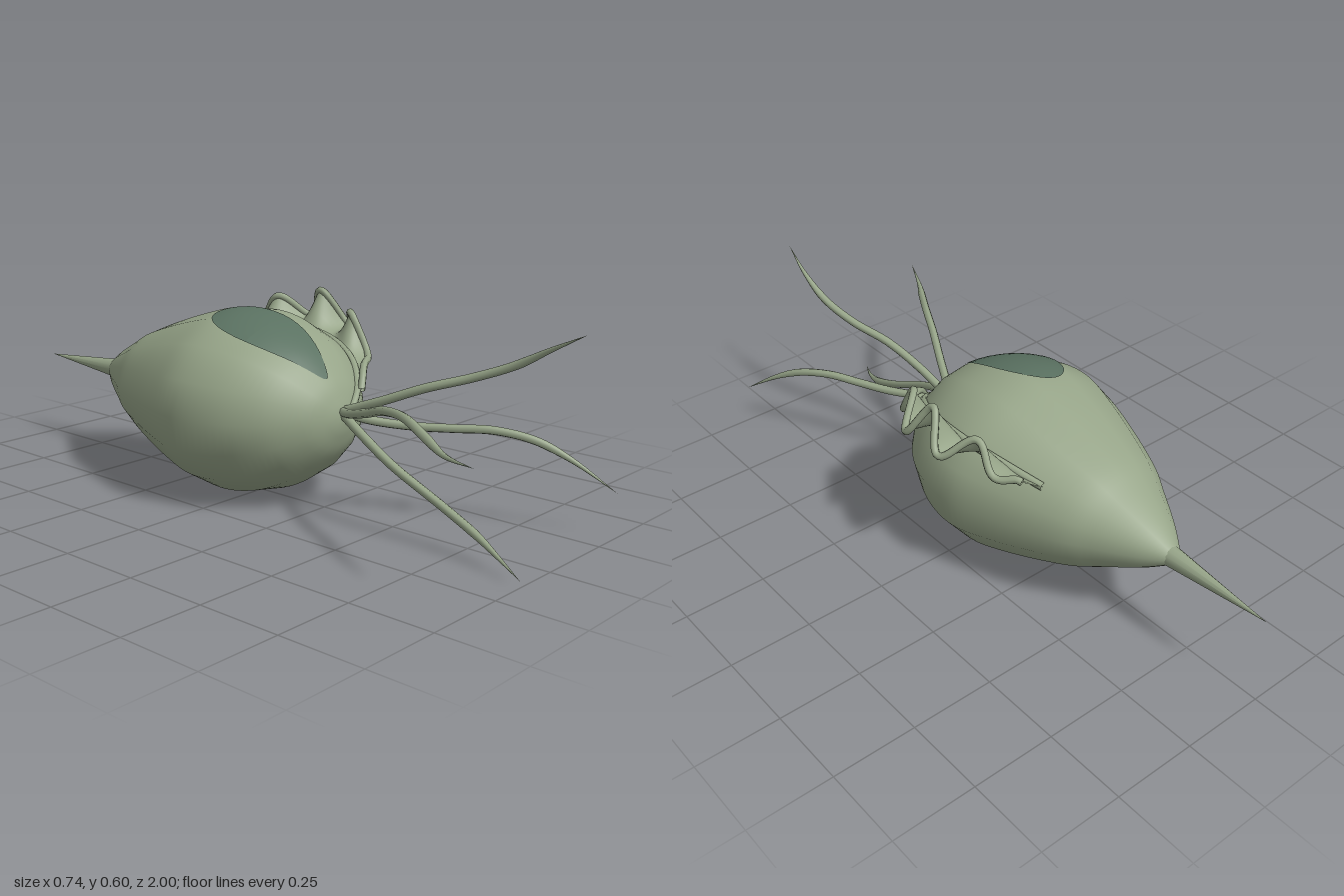
import * as THREE from 'three';

const skin = new THREE.MeshStandardMaterial({ color: 0x97a589 });
skin.name = 'sage skin';
const finSkin = new THREE.MeshStandardMaterial({ color: 0x97a589, side: THREE.DoubleSide });
finSkin.name = 'sage fin';
const dark = new THREE.MeshStandardMaterial({ color: 0x5a7161 });
dark.name = 'dark green';

const CY = 0.278, SX = 0.319, SY = 0.277;
const V = (p) => new THREE.Vector3(...p);

// Body outline: x = position along z, y = relative radius
const profile = new THREE.SplineCurve([
  [-0.67, 0.09], [-0.6, 0.26], [-0.5, 0.46], [-0.4, 0.645], [-0.2, 0.895], [-0.06, 1],
  [0.08, 0.925], [0.2, 0.71], [0.28, 0.42], [0.314, 0.18], [0.325, 0],
].map(([z, r]) => new THREE.Vector2(z, r))).getPoints(60);

function radiusAt(z) {
  for (let i = 1; i < profile.length; i++) {
    const a = profile[i - 1], b = profile[i];
    if (z <= b.x) return a.y + (b.y - a.y) * (z - a.x) / (b.x - a.x);
  }
  return 0;
}

// Point on the body at an angle about the z axis
function onBody(angle, z, lift = 0) {
  const r = radiusAt(z);
  return new THREE.Vector3(
    Math.cos(angle) * (SX * r + lift), CY + Math.sin(angle) * (SY * r + lift), z);
}

function mesh(name, geometry, material) {
  const m = new THREE.Mesh(geometry, material);
  m.name = name;
  return m;
}

// Move every vertex of a geometry by a rule
function shape(geometry, rule) {
  const pos = geometry.attributes.position;
  const v = new THREE.Vector3();
  for (let i = 0; i < pos.count; i++) {
    const p = rule(v.fromBufferAttribute(pos, i), i);
    pos.setXYZ(i, p.x, p.y, p.z);
  }
  return geometry;
}

// Tube that narrows to a point over its last part
function tentacle(points) {
  const curve = new THREE.CatmullRomCurve3(points.map(V));
  const rings = 48, sides = 8;
  return shape(new THREE.TubeGeometry(curve, rings, 0.0135, sides), (v, i) => {
    const t = Math.floor(i / (sides + 1)) / rings;
    const k = t < 0.72 ? 1 - 0.15 * t : 0.892 * (1 - t) / 0.28;
    return v.sub(curve.getPointAt(t)).multiplyScalar(k).add(curve.getPointAt(t));
  });
}

// Ruffled fin: t runs front to back, s from the body to the free edge
const FIN = 0.7;
function finPoint(t, s) {
  const z = 0.305 - 0.645 * t;
  const p = onBody(FIN, z, -0.004);
  const height = 0.04 + 0.055 * t + 0.055 * Math.sin(Math.PI * t);
  const sway = 0.056 * Math.pow(Math.sin(Math.PI * t), 0.6) * Math.cos(2 * Math.PI * (z + 0.038) / 0.165);
  p.x += s * (0.82 * height - 0.53 * sway);
  p.y += s * (0.57 * height + 0.85 * sway);
  return p;
}

export function createModel() {
  const group = new THREE.Group();

  // Teardrop body
  const body = new THREE.LatheGeometry(profile.map((p) => new THREE.Vector2(Math.max(p.y, 0), p.x)), 16);
  body.rotateX(Math.PI / 2).scale(SX, SY, 1).translate(0, CY, 0);
  group.add(mesh('body', body, skin));

  // Tail spike
  const spike = new THREE.ConeGeometry(0.031, 0.34, 12);
  spike.rotateX(-Math.PI / 2).translate(0, 0.277, -0.83);
  group.add(mesh('tailSpike', spike, skin));

  // Dark oval patch following the back
  const patch = shape(new THREE.RingGeometry(0, 1, 40, 8),
    (v) => onBody(1.8 + v.x * 0.345, 0.085 + v.y * 0.195, 0.003));
  patch.computeVertexNormals();
  group.add(mesh('backPatch', patch, dark));

  // Fin membrane with a thick free edge and a root strip
  const fin = new THREE.Group();
  fin.name = 'fin';
  const membrane = shape(new THREE.PlaneGeometry(1, 1, 90, 6), (v) => finPoint(v.x + 0.5, v.y + 0.5));
  membrane.computeVertexNormals();
  fin.add(mesh('finMembrane', membrane, finSkin));
  const edge = [], root = [];
  for (let i = 0; i <= 48; i++) {
    edge.push(finPoint(i / 48, 1));
    root.push(onBody(FIN, 0.316 - 0.656 * i / 48, 0.002));
  }
  fin.add(mesh('finEdge', new THREE.TubeGeometry(new THREE.CatmullRomCurve3(edge), 110, 0.011, 8), finSkin));
  fin.add(mesh('finRoot', new THREE.TubeGeometry(new THREE.CatmullRomCurve3(root), 60, 0.012, 8), finSkin));
  group.add(fin);

  // Four trailing tentacles at the front
  const paths = {
    upperTentacle: [[0.003, 0.3, 0.31], [0.018, 0.35, 0.44], [0.05, 0.4, 0.56], [0.1, 0.44, 0.68],
      [0.13, 0.485, 0.79], [0.136, 0.54, 0.89], [0.122, 0.596, 1]],
    rightTentacle: [[0, 0.3, 0.31], [-0.03, 0.308, 0.36], [-0.08, 0.337, 0.46], [-0.13, 0.37, 0.56],
      [-0.18, 0.381, 0.66], [-0.25, 0.365, 0.78], [-0.31, 0.351, 0.88], [-0.367, 0.358, 1]],
    leftTentacle: [[0.003, 0.298, 0.31], [0.04, 0.28, 0.38], [0.1, 0.27, 0.49], [0.15, 0.272, 0.59],
      [0.2, 0.275, 0.69], [0.25, 0.255, 0.79], [0.29, 0.21, 0.88], [0.338, 0.128, 1]],
    lowerTentacle: [[0, 0.296, 0.31], [-0.04, 0.25, 0.43], [-0.06, 0.2, 0.54], [-0.058, 0.125, 0.7],
      [-0.07, 0.075, 0.82], [-0.1, 0.043, 0.91], [-0.143, 0.019, 1]],
  };
  for (const [name, points] of Object.entries(paths)) {
    group.add(mesh(name, tentacle(points), skin));
  }
  return group;
}
